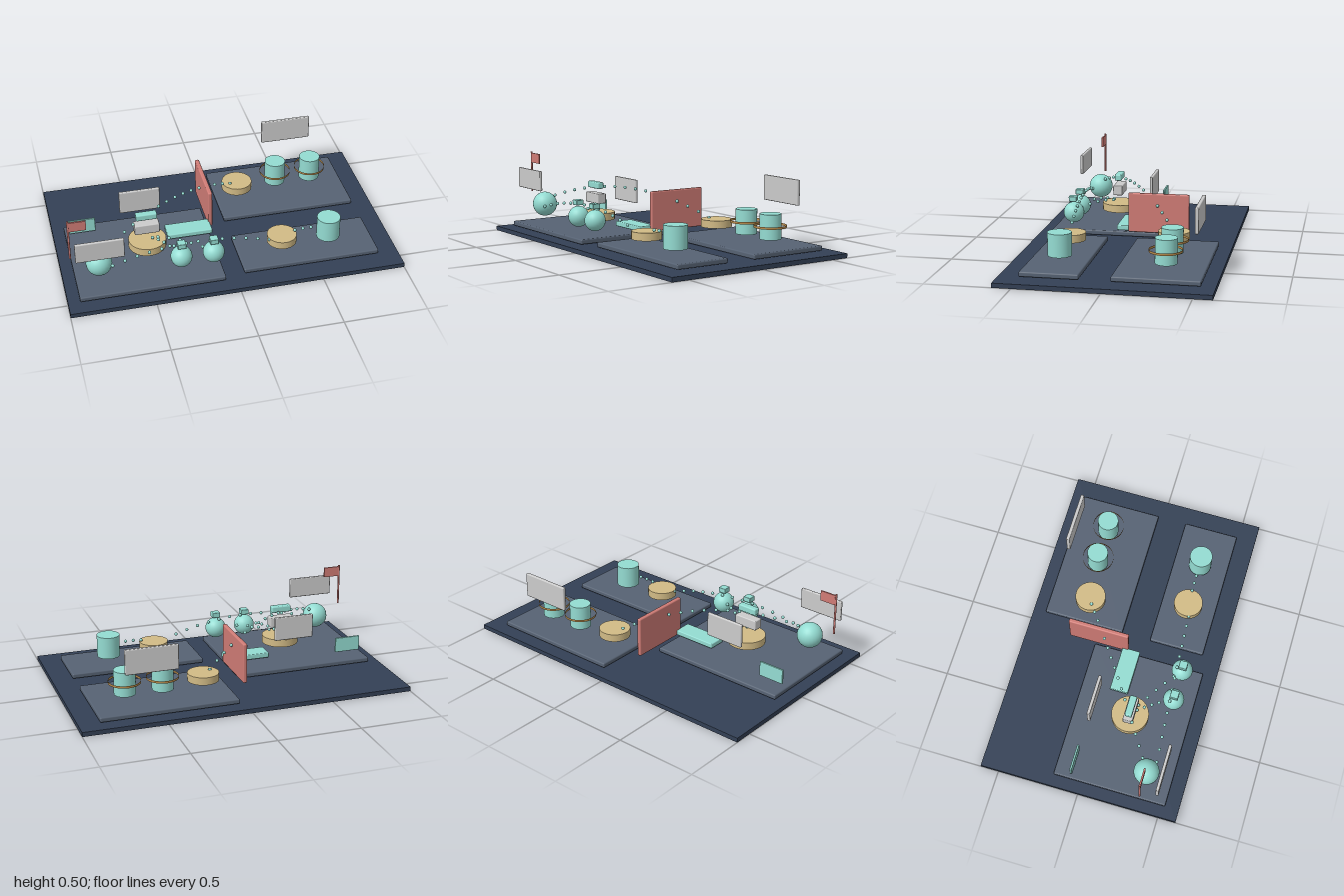
import * as THREE from 'three';
import { RoundedBoxGeometry } from 'three/addons/geometries/RoundedBoxGeometry.js';

const mat = (color) => new THREE.MeshStandardMaterial({ color });

export function createModel() {
  const model = new THREE.Group();
  const navy = mat(0x334055), slate = mat(0x566273), teal = mat(0x94dcd2);
  const tan = mat(0xd2bb86), red = mat(0xd07c76), grey = mat(0xcccccc);
  const brass = mat(0xb5894a);
  brass.side = THREE.DoubleSide;

  function add(name, geometry, material, x, y, z) {
    const mesh = new THREE.Mesh(geometry, material);
    mesh.name = name;
    mesh.position.set(x, y, z);
    model.add(mesh);
    return mesh;
  }
  // Box given by its [min, max] range on each axis, optionally with softened edges
  function box(name, material, [x0, x1], [y0, y1], [z0, z1], edge = 0) {
    const size = [x1 - x0, y1 - y0, z1 - z0];
    const geometry = edge
      ? new RoundedBoxGeometry(...size, 2, edge)
      : new THREE.BoxGeometry(...size);
    return add(name, geometry, material, (x0 + x1) / 2, (y0 + y1) / 2, (z0 + z1) / 2);
  }
  function drum(name, material, x, z, r, y0, y1) {
    return add(name, new THREE.CylinderGeometry(r, r, y1 - y0, 32), material, x, (y0 + y1) / 2, z);
  }
  function ball(name, x, y, z, r) {
    return add(name, new THREE.SphereGeometry(r, 24, 16), teal, x, y, z);
  }

  // Ground board and three raised zones
  box('baseBoard', navy, [-1, 1], [0, 0.027], [-0.61, 0.61]);
  box('leftZone', slate, [-0.93, -0.07], [0.032, 0.062], [-0.17, 0.525], 0.008);
  box('backRightZone', slate, [0.05, 0.877], [0.032, 0.062], [-0.53, -0.03], 0.008);
  box('frontRightZone', slate, [0.05, 0.877], [0.032, 0.062], [0.15, 0.49], 0.008);

  // Round tables
  drum('leftTable', tan, -0.47, 0.173, 0.113, 0.105, 0.152);
  drum('backTable', tan, 0.19, -0.277, 0.094, 0.105, 0.152);
  drum('frontTable', tan, 0.32, 0.318, 0.089, 0.105, 0.152);

  // Storage drums, the back pair with open hoops
  for (const x of [0.447, 0.674]) {
    drum('backDrum', teal, x, -0.307, 0.064, 0.095, 0.243);
    add('drumHoop', new THREE.CylinderGeometry(0.096, 0.096, 0.014, 32, 1, true), brass, x, 0.17, -0.305);
  }
  drum('frontDrum', teal, 0.61, 0.317, 0.07, 0.092, 0.228);

  // Large ball and two small balls with cube heads
  ball('largeBall', -0.79, 0.178, 0.368, 0.077);
  for (const x of [-0.31, -0.117]) {
    ball('smallBall', x, 0.161, 0.4, 0.064);
    box('cubeHead', teal, [x - 0.025, x + 0.025], [0.232, 0.264], [0.378, 0.428], 0.004);
  }

  // Dividing wall and the low slab beside it
  box('dividingWall', red, [-0.066, -0.04], [0.07, 0.315], [-0.334, 0.042], 0.008);
  box('lowSlab', teal, [-0.334, -0.058], [0.072, 0.104], [0.005, 0.118], 0.006);

  // Upright panels
  box('frontPanel', grey, [-0.935, -0.652], [0.281, 0.407], [0.46, 0.479], 0.006);
  box('middlePanel', grey, [-0.596, -0.348], [0.2, 0.348], [-0.058, -0.038], 0.006);
  box('backPanel', grey, [0.402, 0.716], [0.279, 0.43], [-0.492, -0.47], 0.006);
  box('smallPanel', teal, [-0.908, -0.746], [0.082, 0.175], [-0.073, -0.06], 0.004);

  // Stacked console above the left table
  box('consoleBody', grey, [-0.548, -0.398], [0.209, 0.272], [0.148, 0.208], 0.006);
  box('consoleTop', teal, [-0.536, -0.41], [0.301, 0.342], [0.157, 0.2], 0.008);

  // Flag
  drum('flagPole', red, -0.954, 0.371, 0.006, 0.242, 0.5);
  box('flag', red, [-0.95, -0.85], [0.43, 0.492], [0.366, 0.376]);

  // Dotted trails: beads on an arc from a to b, lifted in the middle
  function trail(name, a, b, lift, count) {
    const from = new THREE.Vector3(...a), to = new THREE.Vector3(...b);
    const group = new THREE.Group();
    group.name = name;
    const bead = new THREE.SphereGeometry(0.01, 10, 8);
    for (let i = 1; i < count; i++) {
      const t = i / count;
      const dot = new THREE.Mesh(bead, teal);
      dot.name = 'bead';
      dot.position.lerpVectors(from, to, t);
      dot.position.y += lift * 4 * t * (1 - t);
      group.add(dot);
    }
    model.add(group);
  }
  trail('longTrail', [-0.79, 0.21, 0.365], [0.2, 0.115, -0.295], 0.147, 17);
  trail('frontTrail', [-0.79, 0.15, 0.415], [0.31, 0.115, 0.338], 0.1, 15);
  trail('drumTrail', [0.35, 0.16, 0.32], [0.6, 0.16, 0.317], 0.01, 5);
  trail('nearBallTrail', [-0.47, 0.16, 0.17], [-0.31, 0.16, 0.4], 0.03, 6);
  trail('farBallTrail', [-0.47, 0.16, 0.17], [-0.117, 0.16, 0.4], 0.03, 6);

  return model;
}
